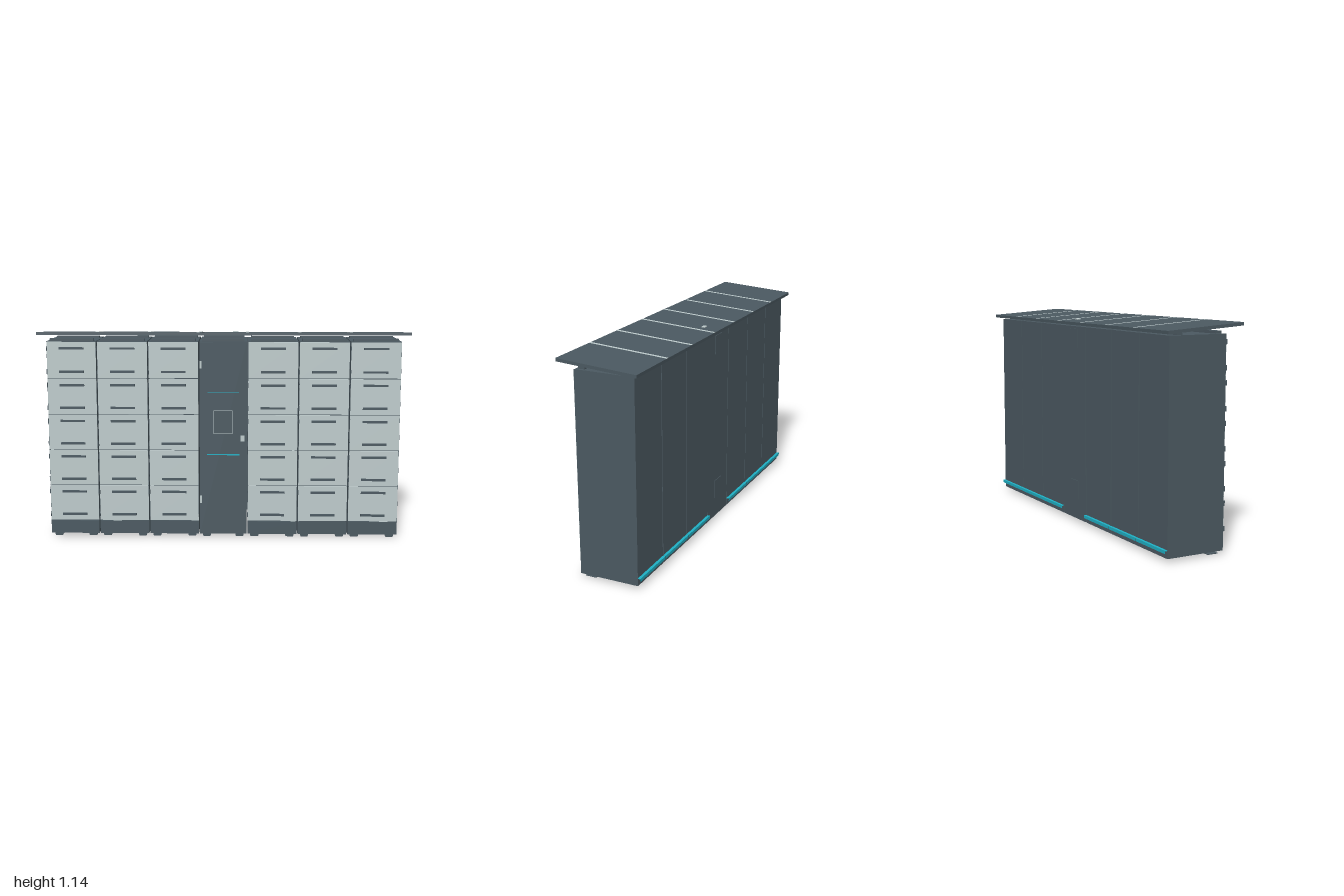
import * as THREE from 'three';

const mat = (name, color) => {
  const m = new THREE.MeshStandardMaterial({ color });
  m.name = name;
  return m;
};

export function createModel() {
  const dark = mat('slate grey', 0x4b5961);
  const light = mat('pale grey', 0xbecbcc);
  const teal = mat('teal', 0x1fb0c4);

  const model = new THREE.Group();
  model.name = 'parcelLocker';

  // box given by its two extremes on each axis
  const box = (parent, name, m, x0, x1, y0, y1, z0, z1) => {
    const mesh = new THREE.Mesh(new THREE.BoxGeometry(x1 - x0, y1 - y0, z1 - z0), m);
    mesh.position.set((x0 + x1) / 2, (y0 + y1) / 2, (z0 + z1) / 2);
    mesh.name = name;
    parent.add(mesh);
    return mesh;
  };
  const group = (name, parent = model) => {
    const g = new THREE.Group();
    g.name = name;
    parent.add(g);
    return g;
  };

  const seams = [-0.689, -0.411, -0.134, 0.13, 0.408, 0.685];
  const edges = [-0.963, ...seams, 0.963];
  const rows = [0.092, 0.293, 0.491, 0.689, 0.887, 1.087];
  const BACK = -0.182, FRONT = 0.142, LOW = 0.018, TOP = 1.088;

  // feet under the front corners: a flat sole and a front plate
  const addFeet = (g, x0, x1) => {
    for (const x of [x0 + 0.038, x1 - 0.038]) {
      box(g, 'footSole', dark, x - 0.02, x + 0.02, 0, 0.004, 0.065, 0.125);
      const plate = new THREE.Mesh(new THREE.PlaneGeometry(0.046, 0.014), dark);
      plate.position.set(x, 0.011, 0.125);
      plate.name = 'footPlate';
      g.add(plate);
    }
  };

  // one column of compartments, hollow below the floor
  const addColumn = (x0, x1) => {
    const g = group('lockerColumn');
    const t = 0.004;
    box(g, 'cabinet', dark, x0 + t, x1 - t, 0.09, TOP, BACK + t, 0.137);
    box(g, 'floorPlate', light, x0 + t, x1 - t, 0.086, 0.09, BACK + t, FRONT - t);
    box(g, 'sidePanel', dark, x0, x0 + t, LOW, TOP, BACK, FRONT);
    box(g, 'sidePanel', dark, x1 - t, x1, LOW, TOP, BACK, FRONT);
    box(g, 'backPanel', dark, x0 + t, x1 - t, LOW, TOP, BACK, BACK + t);
    box(g, 'plinth', dark, x0 + t, x1 - t, LOW, 0.09, FRONT - t, FRONT);

    const mid = (x0 + x1) / 2;
    for (let i = 0; i < rows.length - 1; i++) {
      const a = rows[i] + 0.002, b = rows[i + 1] - 0.002;
      box(g, 'door', light, x0 + 0.001, x1 - 0.001, a, b, 0.137, 0.1435);
      for (const y of [a + 0.034, b - 0.035]) {
        box(g, 'handle', dark, mid - 0.067, mid + 0.067, y - 0.006, y + 0.006, 0.1435, 0.152);
        box(g, 'hinge', dark, x0 - 0.002, x0 + 0.002, y - 0.013, y + 0.013, 0.14, 0.148);
      }
    }
    addFeet(g, x0, x1);

    // thin teal ledge along the back
    box(g, 'backLedge', teal, x0, x1, 0.058, 0.061, -0.196, BACK);
    box(g, 'backLedgeLip', teal, x0, x1, 0.045, 0.061, -0.197, -0.196);
  };

  // service column with a screen
  const addConsole = (x0, x1) => {
    const g = group('serviceColumn');
    box(g, 'consoleBody', dark, x0, x1, LOW, TOP, BACK, 0.139);
    box(g, 'consoleDoor', dark, x0 + 0.002, x1 - 0.002, 0.024, 1.084, 0.139, 0.143);
    box(g, 'backSeamCover', dark, x1, x1 + 0.006, 0.075, TOP, BACK, BACK + 0.003);
    addFeet(g, x0, x1);

    // light bars, the upper one glowing from its top only
    box(g, 'upperBar', dark, -0.088, 0.083, 0.809, 0.812, 0.143, 0.148);
    box(g, 'upperLight', teal, -0.088, 0.083, 0.812, 0.8135, 0.143, 0.148);
    box(g, 'lowerLight', teal, -0.09, 0.088, 0.464, 0.47, 0.143, 0.146);

    // screen with a fine pale outline
    const s = group('screen', g);
    box(s, 'screenPlate', dark, -0.052, 0.047, 0.585, 0.709, 0.143, 0.147);
    for (const x of [-0.055, 0.047]) box(s, 'screenEdge', light, x, x + 0.003, 0.582, 0.712, 0.143, 0.148);
    for (const y of [0.582, 0.709]) box(s, 'screenEdge', light, -0.052, 0.047, y, y + 0.003, 0.143, 0.148);

    box(g, 'lock', light, 0.093, 0.115, 0.541, 0.575, 0.143, 0.152);
    for (const y of [0.215, 0.963]) {
      box(g, 'doorHinge', light, x0 + 0.001, x0 + 0.011, y - 0.021, y + 0.021, 0.143, 0.151);
    }

    // vent covers on the back
    for (const y of [0.182, 1.022]) {
      box(g, 'ventCover', dark, -0.045, 0.045, y - 0.052, y + 0.052, BACK - 0.003, BACK);
    }
  };

  for (let i = 0; i < 7; i++) {
    const x0 = edges[i] + 0.003, x1 = edges[i + 1] - 0.003;
    if (i === 3) addConsole(x0, x1);
    else addColumn(x0, x1);
    // rails that carry the roof
    box(model, 'roofRail', dark, x0 + 0.015, x1 - 0.015, TOP, 1.102, 0.09, 0.125);
    box(model, 'roofRail', dark, x0 + 0.015, x1 - 0.015, TOP, 1.098, -0.13, -0.1);
  }

  // sloping roof, higher at the front: a top sheet on an open frame with ribs
  const roof = group('roof');
  roof.position.y = 1.12;
  roof.rotation.x = -0.07;
  const sheet = new THREE.Mesh(new THREE.PlaneGeometry(2, 0.43), dark);
  sheet.rotation.x = -Math.PI / 2;
  sheet.position.y = 0.0085;
  sheet.name = 'roofSheet';
  roof.add(sheet);
  box(roof, 'roofFrameFront', dark, -1, 1, -0.008, 0.008, 0.175, 0.215);
  box(roof, 'roofFrameBack', dark, -1, 1, -0.008, 0.008, -0.215, -0.178);
  for (const x of [-0.97, 0.97]) box(roof, 'roofFrameEnd', dark, x - 0.03, x + 0.03, -0.008, 0.008, -0.178, 0.175);
  for (const x of seams) {
    box(roof, 'roofRib', dark, x - 0.017, x + 0.017, -0.008, 0.008, -0.178, 0.175);
    box(roof, 'roofStrip', light, x - 0.008, x + 0.008, 0.008, 0.0095, -0.215, 0.215);
  }
  box(roof, 'roofSensor', light, 0.048, 0.079, 0.008, 0.013, -0.134, -0.116);

  return model;
}
